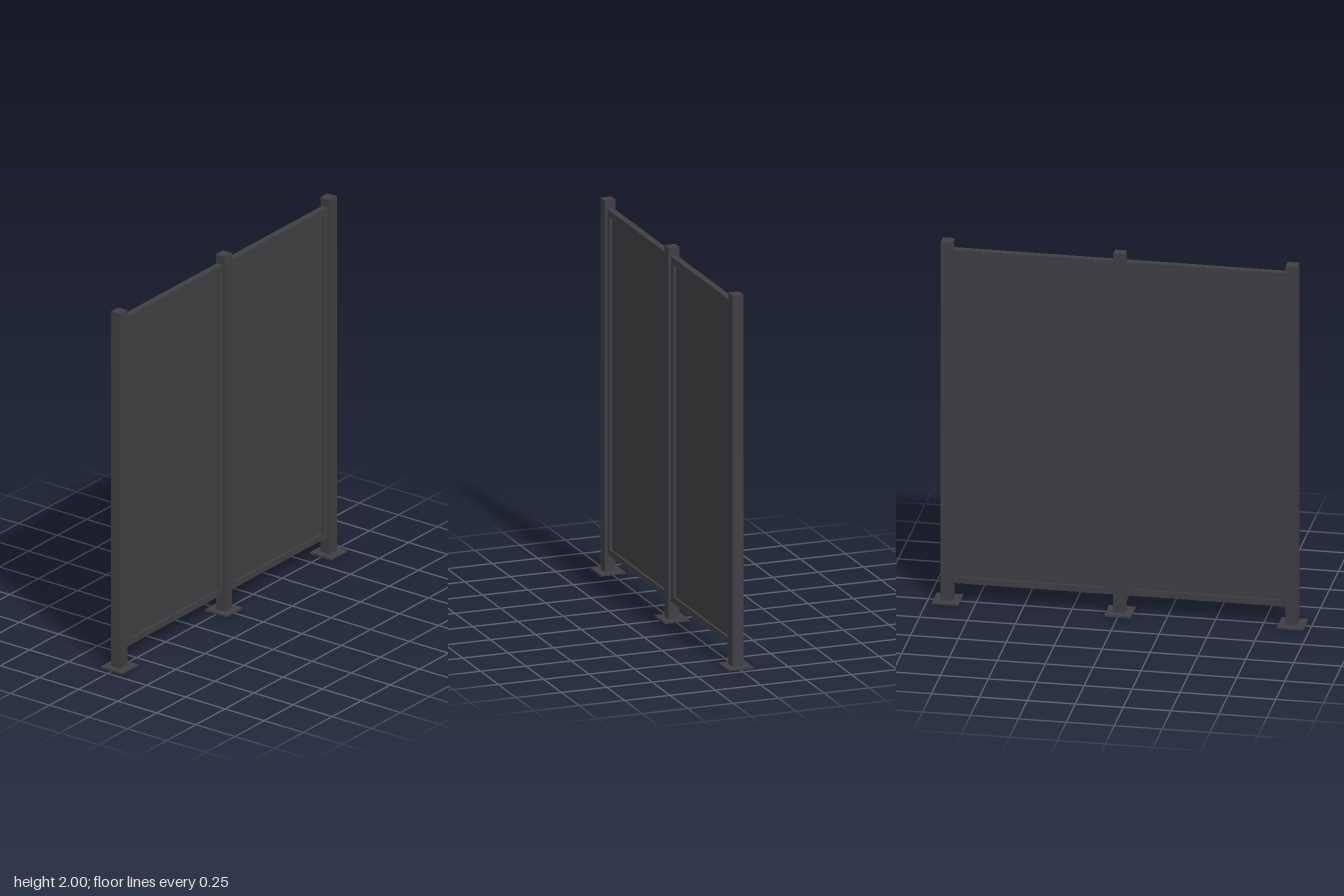
import * as THREE from 'three';

export function createModel() {
  const model = new THREE.Group();
  model.name = 'privacyScreen';
  const metal = new THREE.MeshStandardMaterial({ color: 0x3f3e42 });
  metal.name = 'charcoal metal';

  function box(parent, name, w, h, d, x, y, z) {
    const mesh = new THREE.Mesh(new THREE.BoxGeometry(w, h, d), metal);
    mesh.name = name;
    mesh.position.set(x, y, z);
    parent.add(mesh);
  }

  // Square posts, each on a thin floor plate
  for (const x of [-0.9, 0, 0.9]) {
    const post = new THREE.Group();
    post.name = 'post';
    post.position.x = x;
    box(post, 'basePlate', 0.138, 0.01, 0.138, 0, 0.005, 0);
    box(post, 'upright', 0.06, 1.99, 0.06, 0, 1.005, 0);
    model.add(post);
  }

  // Framed panels, with a narrow gap to the posts on both sides
  const width = 0.83, bottom = 0.105, top = 1.955, rail = 0.034, depth = 0.036;
  const height = top - bottom, middle = (top + bottom) / 2;
  for (const x of [-0.45, 0.45]) {
    const panel = new THREE.Group();
    panel.name = 'panel';
    panel.position.set(x, middle, 0);

    // Frame: one rectangle with an opening
    const outline = new THREE.Shape();
    const rect = (path, w, h) => path.moveTo(-w / 2, -h / 2).lineTo(w / 2, -h / 2)
      .lineTo(w / 2, h / 2).lineTo(-w / 2, h / 2).closePath();
    rect(outline, width, height);
    const opening = new THREE.Path();
    rect(opening, width - 2 * rail, height - 2 * rail);
    outline.holes.push(opening);
    const geometry = new THREE.ExtrudeGeometry(outline, { depth, bevelEnabled: false });
    geometry.translate(0, 0, -depth / 2);
    const frame = new THREE.Mesh(geometry, metal);
    frame.name = 'panelFrame';
    panel.add(frame);

    // Recessed infill sheet
    box(panel, 'infillSheet', width - 2 * rail, height - 2 * rail, 0.012, 0, 0, 0);
    model.add(panel);
  }
  return model;
}
